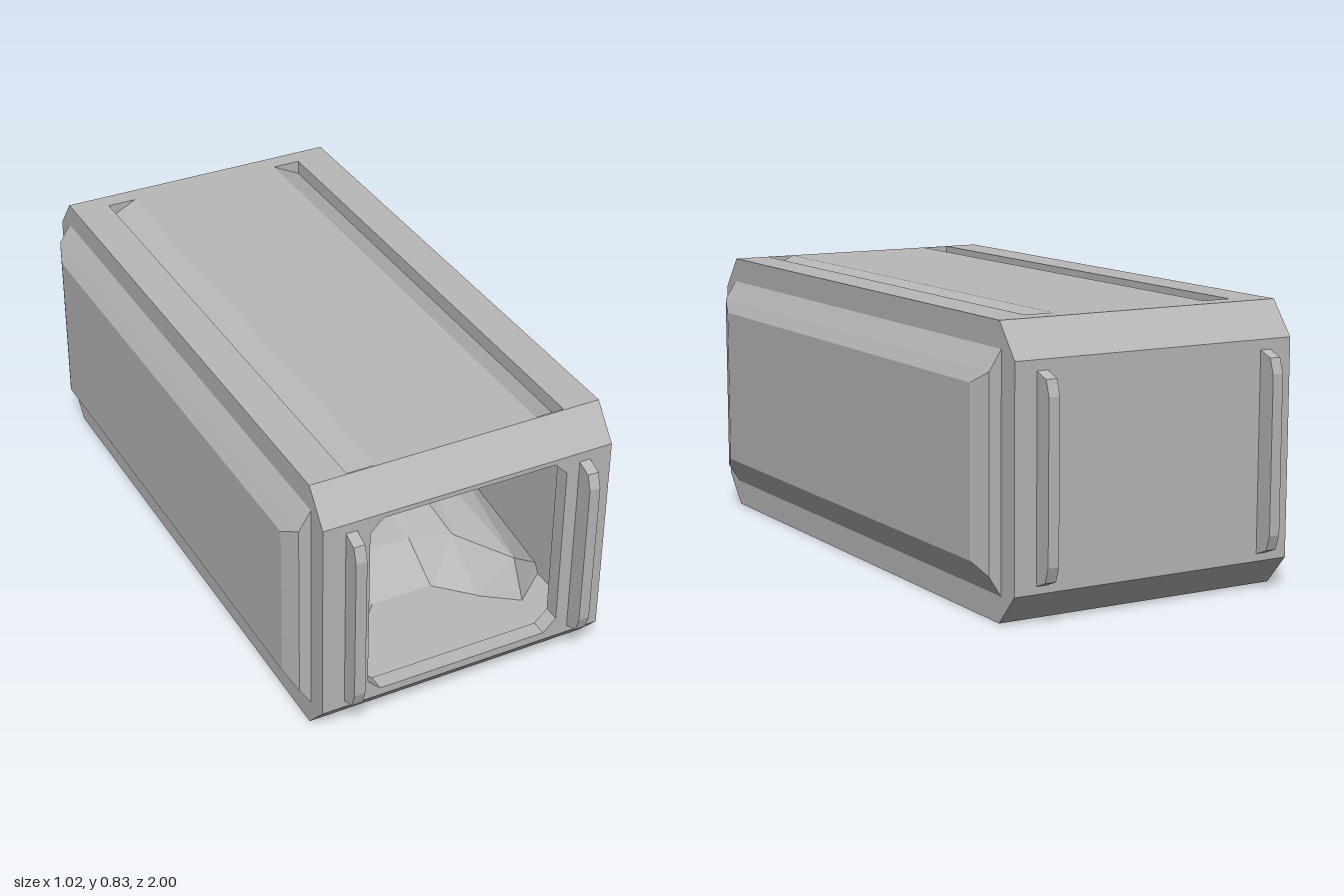
import * as THREE from 'three';
import { ConvexGeometry } from 'three/addons/geometries/ConvexGeometry.js';

const HALF = 0.453, INNER = 0.42; // outer and inner half widths

const toShape = (pts) => new THREE.Shape(pts.map(([x, y]) => new THREE.Vector2(x, y)));
const extrude = (shape, depth) => new THREE.ExtrudeGeometry(shape, { depth, bevelEnabled: false });

// Extrude a (z, y) outline across x from x0 to x1
function acrossX(pts, x0, x1) {
  return extrude(toShape(pts), x1 - x0).rotateY(-Math.PI / 2).translate(x1, 0, 0);
}

// Extrude an (x, y) shape along z from z0 to z1
const alongZ = (shape, z0, z1) => extrude(shape, z1 - z0).translate(0, 0, z0);

// Rectangle with cut corners
const cutRect = (x, y0, y1, c) => [
  [-x + c, y0], [x - c, y0], [x, y0 + c], [x, y1 - c],
  [x - c, y1], [-x + c, y1], [-x, y1 - c], [-x, y0 + c],
];

// Bulging side panel with sloped edges on the +x side (mirrored by s)
function sidePanelGeometry(s) {
  const pts = [];
  for (const e of [-1, 1]) {
    for (const [x, y, z] of [
      [0.45, 0.073, 0.87], [0.45, 0.759, 0.87],
      [0.49, 0.136, 0.87], [0.49, 0.696, 0.87],
      [0.512, 0.17, 0.805], [0.512, 0.66, 0.805],
    ]) pts.push(new THREE.Vector3(s * x, y, e * z));
  }
  return new ConvexGeometry(pts);
}

// Faceted pile: columns across x, rows from its front foot to the back wall
function pileGeometry() {
  // x, foot z, front top y, front top z, ridge y, ridge z
  const cols = [
    [-0.42, 0.67, 0.12, 0.65, 0.2, 0.1],
    [-0.31, 0.76, 0.225, 0.73, 0.24, 0.11],
    [-0.2, 0.7, 0.225, 0.52, 0.265, 0.15],
    [-0.1, 0.58, 0.175, 0.43, 0.22, 0.1],
    [0.1, 0.58, 0.175, 0.43, 0.22, 0.1],
    [0.2, 0.68, 0.215, 0.52, 0.263, 0.15],
    [0.31, 0.76, 0.21, 0.7, 0.24, 0.11],
    [0.42, 0.67, 0.12, 0.65, 0.2, 0.1],
  ].map(([x, bz, fy, fz, ry, rz]) => [
    [x, 0.085, bz], [x, fy, fz], [x, ry, rz], [x, ry - 0.03, -0.88],
  ]);
  const pos = [];
  for (let i = 0; i < cols.length - 1; i++) {
    for (let j = 0; j < 3; j++) {
      const a = cols[i][j], b = cols[i + 1][j], c = cols[i + 1][j + 1], d = cols[i][j + 1];
      pos.push(...a, ...b, ...c, ...a, ...c, ...d);
    }
  }
  const g = new THREE.BufferGeometry();
  g.setAttribute('position', new THREE.Float32BufferAttribute(pos, 3));
  g.computeVertexNormals();
  return g;
}

export function createModel() {
  const group = new THREE.Group();
  const grey = new THREE.MeshStandardMaterial({ color: 0xb8b8b8 });
  grey.name = 'grey';
  const add = (name, geometry) => {
    const mesh = new THREE.Mesh(geometry, grey);
    mesh.name = name;
    group.add(mesh);
    return mesh;
  };

  // Side walls with chamfered ends, and the panels on them
  const outline = [
    [-0.86, 0], [0.86, 0], [0.94, 0.09], [0.94, 0.73],
    [0.86, 0.83], [-0.86, 0.83], [-0.94, 0.73], [-0.94, 0.09],
  ];
  for (const [side, s] of [['left', 1], ['right', -1]]) {
    add(side + 'Wall', acrossX(outline, s > 0 ? INNER : -HALF, s > 0 ? HALF : -INNER));
    add(side + 'Panel', sidePanelGeometry(s));
  }

  // Floor
  add('floor', acrossX([[-0.86, 0], [0.86, 0], [0.94, 0.09], [-0.94, 0.09]], -INNER, INNER));

  // Roof with two wedge-shaped grooves
  const roof = toShape([
    [-INNER, 0.735], [INNER, 0.735], [INNER, 0.83], [0.34, 0.83], [0.34, 0.785], [0.25, 0.83],
    [-0.25, 0.83], [-0.34, 0.785], [-0.34, 0.83], [-INNER, 0.83],
  ]);
  add('roof', alongZ(roof, -0.8, 0.855));

  // Chamfered beams closing the roof at both ends
  add('frontBeam', acrossX([[0.855, 0.73], [0.94, 0.73], [0.86, 0.83], [0.855, 0.83]], -INNER, INNER));
  add('backBeam', acrossX([[-0.94, 0.73], [-0.8, 0.73], [-0.8, 0.83], [-0.86, 0.83]], -INNER, INNER));

  // Front frame with its opening, and the closed back
  const frame = toShape([[-INNER, 0.09], [INNER, 0.09], [INNER, 0.73], [-INNER, 0.73]]);
  const back = frame.clone();
  frame.holes.push(toShape(cutRect(0.31, 0.115, 0.715, 0.04)));
  add('frontFrame', alongZ(frame, 0.89, 0.94));
  add('backWall', alongZ(back, -0.94, -0.88));

  // Contents
  add('pile', pileGeometry());

  // Upright grab bars on both ends
  const bar = [
    [0.93, 0.112], [0.94, 0.112], [0.985, 0.13], [1, 0.175],
    [1, 0.638], [0.985, 0.683], [0.94, 0.7], [0.93, 0.7],
  ];
  for (const x of [-0.367, 0.367]) {
    add('frontHandle', acrossX(bar, x - 0.017, x + 0.017));
    add('backHandle', acrossX(bar, -x - 0.017, -x + 0.017).rotateY(Math.PI));
  }
  return group;
}
